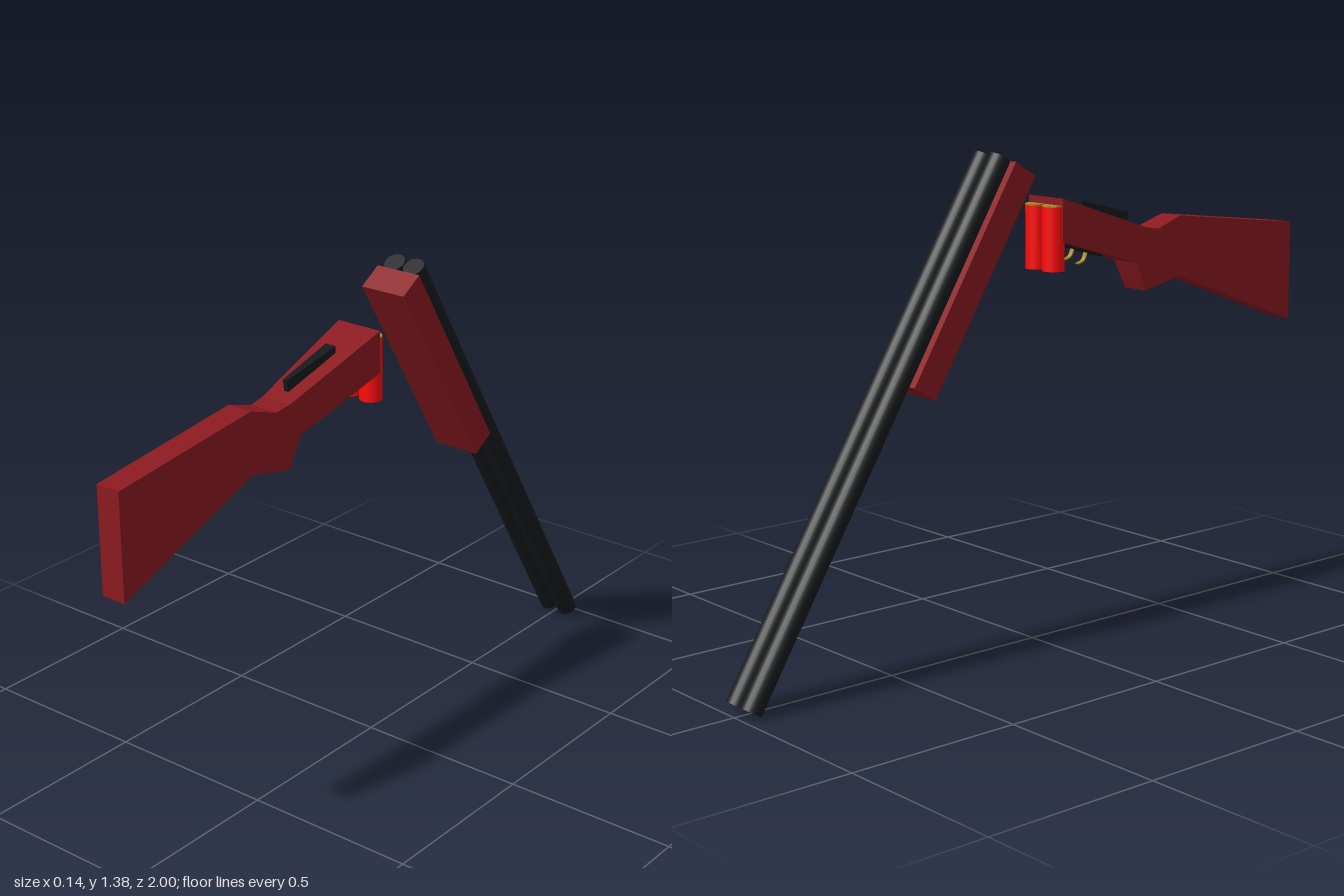
import * as THREE from 'three';

const mat = (color, extra = {}) => new THREE.MeshStandardMaterial({ color, ...extra });
const wood = mat(0x8a1a20, { flatShading: true });
const steel = mat(0x16191c);
const steelFlat = mat(0x16191c, { flatShading: true });
const shellRed = mat(0xff0a0a);
const brass = mat(0xa88a20);

function add(parent, name, geometry, material, x = 0, y = 0, z = 0) {
  const mesh = new THREE.Mesh(geometry, material);
  mesh.name = name;
  mesh.position.set(x, y, z);
  parent.add(mesh);
  return mesh;
}

// Solid lofted through four-cornered sections, listed from +z to -z:
// [half width, top z, top y, bottom z, bottom y]
function loft(sections) {
  const points = [], index = [];
  for (const [w, tz, ty, bz, by] of sections) {
    points.push(w, ty, tz, -w, ty, tz, -w, by, bz, w, by, bz);
  }
  for (let s = 0; s < sections.length - 1; s++) {
    for (let i = 0; i < 4; i++) {
      const a = s * 4 + i, b = s * 4 + (i + 1) % 4;
      index.push(a, a + 4, b, b, a + 4, b + 4);
    }
  }
  const e = (sections.length - 1) * 4;
  index.push(0, 1, 2, 0, 2, 3, e, e + 2, e + 1, e, e + 3, e + 2);
  const g = new THREE.BufferGeometry();
  g.setAttribute('position', new THREE.Float32BufferAttribute(points, 3));
  g.setIndex(index);
  const flat = g.toNonIndexed();
  flat.computeVertexNormals();
  return flat;
}

export function createModel() {
  const model = new THREE.Group();
  model.name = 'openShotgun';

  // Stock, grip and receiver in one tapering block
  add(model, 'stock', loft([
    [0.036, 1, 1.11, 1, 0.815],
    [0.037, 0.53, 1.165, 0.53, 0.99],
    [0.042, 0.44, 1.135, 0.39, 0.962],
    [0.046, 0.39, 1.142, 0.35, 1.045],
    [0.07, 0.05, 1.25, 0.05, 1.132],
  ]), wood);

  // Opening lever on top of the receiver
  add(model, 'topLever', loft([
    [0.007, 0.355, 1.187, 0.35, 1.155],
    [0.017, 0.17, 1.23, 0.17, 1.205],
  ]), steelFlat);

  // Plate under the receiver with two curved triggers
  add(model, 'triggerPlate', loft([
    [0.025, 0.24, 1.09, 0.24, 1.071],
    [0.025, 0.1, 1.13, 0.1, 1.112],
  ]), steelFlat);
  for (const [y, z] of [[1.08, 0.195], [1.096, 0.146]]) {
    const curve = new THREE.CatmullRomCurve3([
      [0.012, 0.002], [0, 0], [-0.018, -0.01], [-0.026, -0.035],
    ].map(([dy, dz]) => new THREE.Vector3(0, dy, dz)));
    const trigger = add(model, 'trigger', new THREE.TubeGeometry(curve, 10, 0.003, 6), brass, 0, y, z);
    trigger.scale.x = 3;
  }

  // Two cartridges with brass heads
  for (const x of [-0.035, 0.035]) {
    add(model, 'cartridge', new THREE.CylinderGeometry(0.031, 0.031, 0.176, 20), shellRed, x, 1.138, 0.046);
    add(model, 'cartridgeHead', new THREE.CylinderGeometry(0.031, 0.031, 0.004, 20), brass, x, 1.228, 0.046);
  }

  // Hinged-down barrels with the fore-end below them
  const barrels = new THREE.Group();
  barrels.name = 'barrelAssembly';
  barrels.position.set(0, 0.695, -0.5565);
  barrels.rotation.x = 0.551;
  model.add(barrels);
  for (const x of [-0.032, 0.032]) {
    add(barrels, 'barrel', new THREE.CylinderGeometry(0.03, 0.03, 1.583, 20), steel, x);
  }
  add(barrels, 'foreEnd', new THREE.BoxGeometry(0.14, 0.664, 0.08), wood, 0, 0.464, 0.066);

  return model;
}
